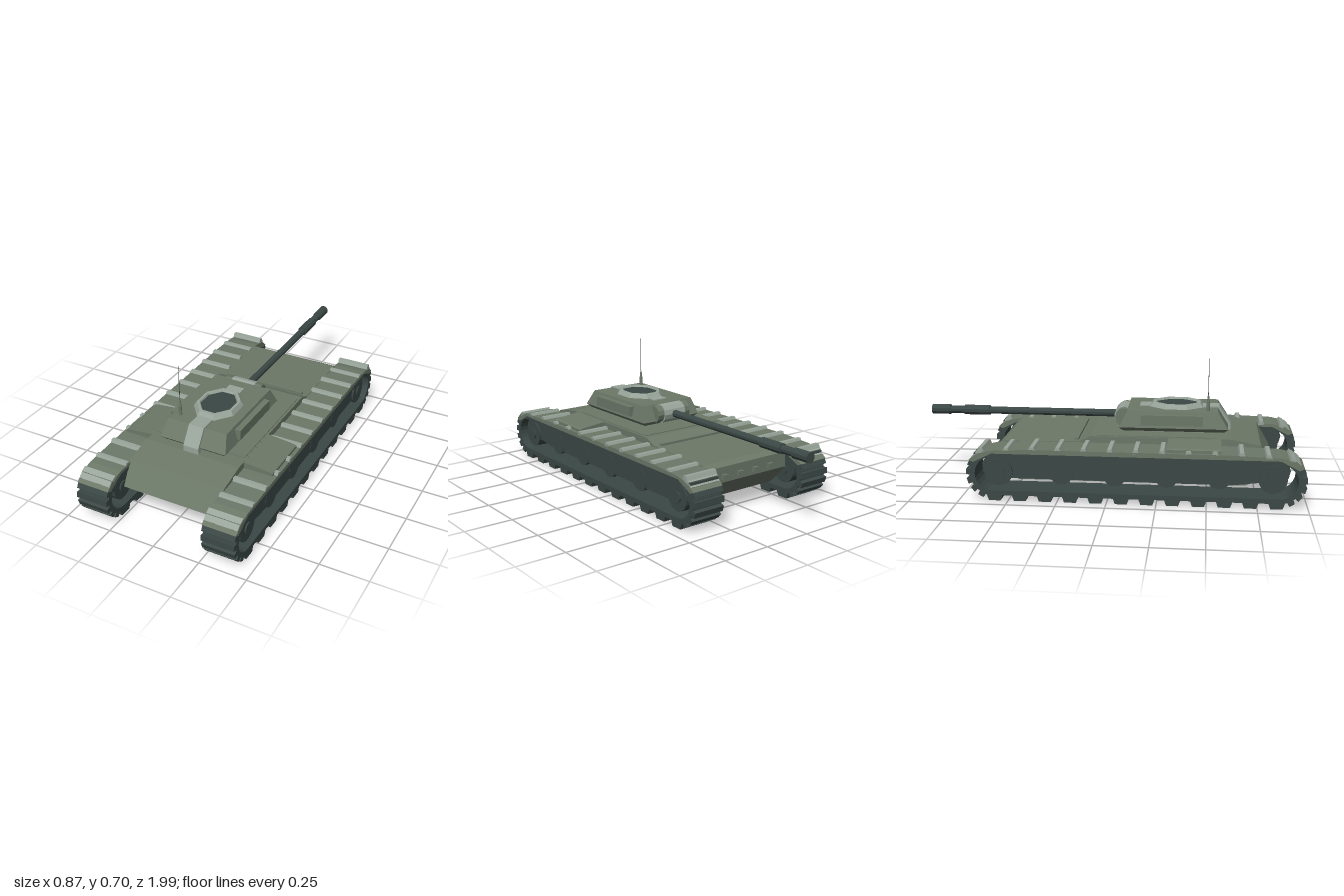
import * as THREE from 'three';

const mat = (name, color) => {
  const m = new THREE.MeshStandardMaterial({ color });
  m.name = name;
  m.flatShading = true;
  return m;
};

export function createModel() {
  const green = mat('armour green', 0x6c7868);
  const pale = mat('pale grey green', 0x98a49a);
  const dark = mat('track grey', 0x3b4845);
  const model = new THREE.Group();
  const CX = -0.005; // turret centre line

  const add = (parent, name, geo, material, x = 0, y = 0, z = 0) => {
    const m = new THREE.Mesh(geo, material);
    m.name = name;
    m.position.set(x, y, z);
    parent.add(m);
    return m;
  };
  const box = (w, h, d) => new THREE.BoxGeometry(w, h, d);

  // side profile of [z, y] points, extruded across x from x0 to x1
  const profile = (pts, x0, x1, hole) => {
    const toV = (p) => new THREE.Vector2(p[0], p[1]);
    const s = new THREE.Shape(pts.map(toV));
    if (hole) s.holes.push(new THREE.Path(hole.map(toV)));
    const g = new THREE.ExtrudeGeometry(s, { depth: x1 - x0, bevelEnabled: false });
    g.rotateY(-Math.PI / 2);
    g.translate(x1, 0, 0);
    return g;
  };

  // stack of rectangular rings [half width, z min, z max, y], bottom to top
  const loft = (rings) => {
    const c = rings.map(([w, a, b, y]) => [[-w, y, b], [w, y, b], [w, y, a], [-w, y, a]]);
    const p = [];
    const quad = (a, b, d, e) => p.push(...a, ...b, ...d, ...a, ...d, ...e);
    for (let r = 0; r + 1 < c.length; r++)
      for (let i = 0; i < 4; i++) {
        const j = (i + 1) % 4;
        quad(c[r][i], c[r][j], c[r + 1][j], c[r + 1][i]);
      }
    const t = c[c.length - 1];
    quad(t[0], t[1], t[2], t[3]);
    quad(c[0][3], c[0][2], c[0][1], c[0][0]);
    const g = new THREE.BufferGeometry();
    g.setAttribute('position', new THREE.Float32BufferAttribute(p, 3));
    g.computeVertexNormals();
    return g;
  };

  // hull
  add(model, 'hull', profile([[0.70, 0.063], [0.84, 0.155], [0.77, 0.275], [0.62, 0.304], [-0.10, 0.304],
    [-0.16, 0.275], [-0.55, 0.268], [-0.58, 0.25], [-0.58, 0.17], [-0.48, 0.063]], -0.262, 0.262), green);
  add(model, 'deckPlate', box(0.5, 0.006, 0.61), green, 0, 0.305, 0.235);
  add(model, 'engineDeckRidge', box(0.46, 0.012, 0.02), green, 0, 0.279, -0.175);
  for (const x of [-0.15, -0.05, 0.05, 0.15])
    add(model, 'rearBracket', box(0.03, 0.025, 0.02), green, x, 0.2, -0.585);

  // turret
  const turret = new THREE.Group();
  turret.name = 'turret';
  turret.position.x = CX;
  model.add(turret);
  add(turret, 'turretRing', loft([[0.155, 0.10, 0.54, 0.300], [0.145, 0.11, 0.53, 0.318]]), green);
  add(turret, 'turretBody', loft([[0.165, 0.06, 0.585, 0.316], [0.185, 0.04, 0.605, 0.336],
    [0.163, 0.08, 0.552, 0.42]]), green);
  for (const s of [-1, 1])
    add(turret, 'sideBin', box(0.035, 0.053, 0.32), green, s * 0.181, 0.379, 0.315);
  // pale strap running over the roof and down the front
  add(turret, 'frontStrap', profile([[0.44, 0.418], [0.44, 0.425], [0.56, 0.425], [0.62, 0.335],
    [0.62, 0.302], [0.595, 0.302], [0.595, 0.34], [0.55, 0.418]], -0.042, 0.042), pale);
  add(turret, 'roofStrap', box(0.085, 0.008, 0.10), pale, 0, 0.421, 0.19);

  // octagonal hatch
  const eighth = Math.PI / 8;
  const hatch = new THREE.Group();
  hatch.name = 'hatch';
  hatch.position.set(0, 0.42, 0.335);
  hatch.scale.set(0.122, 1, 0.152);
  turret.add(hatch);
  const rim = new THREE.LatheGeometry([[1.0, 0], [0.88, 0.023], [0.76, 0.023], [0.72, 0.012]]
    .map(([r, y]) => new THREE.Vector2(r, y)), 8, eighth);
  add(hatch, 'hatchRim', rim, pale);
  const lid = new THREE.CircleGeometry(0.76, 8, eighth);
  lid.rotateX(-Math.PI / 2);
  add(hatch, 'hatchLid', lid, dark, 0, 0.014, 0);

  // gun mantlet and barrel
  const across = (r, len, n) => new THREE.CylinderGeometry(r, r, len, n).rotateZ(Math.PI / 2);
  add(turret, 'mantletCore', across(0.047, 0.21, 12), green, 0, 0.371, 0.06);
  add(turret, 'mantletCover', across(0.052, 0.135, 12), pale, 0, 0.37, 0.057);
  for (const [name, r, z0, z1] of [['barrel', 0.02, 0.04, -0.68], ['barrelSleeve', 0.027, -0.68, -0.82],
    ['barrelNeck', 0.021, -0.82, -0.9], ['muzzle', 0.027, -0.9, -1.0]])
    add(turret, name, new THREE.CylinderGeometry(r, r, z0 - z1, 10).rotateX(Math.PI / 2), dark,
      0, 0.369, (z0 + z1) / 2);

  // antenna
  add(model, 'antennaBase', new THREE.CylinderGeometry(0.008, 0.009, 0.05, 8), green, -0.132, 0.442, 0.5);
  add(model, 'antennaTaper', new THREE.CylinderGeometry(0.003, 0.008, 0.04, 8), green, -0.132, 0.487, 0.5);
  add(model, 'antennaRod', new THREE.CylinderGeometry(0.001, 0.0018, 0.19, 6), dark, -0.132, 0.602, 0.5);

  // track loop: straight runs joined by half circles
  const ZF = 0.86, ZR = -0.58, YC = 0.14;
  const loop = (r) => {
    const pts = [];
    for (let i = 0; i <= 12; i++) {
      const a = -Math.PI / 2 + (Math.PI * i) / 12;
      pts.push([ZF + r * Math.cos(a), YC + r * Math.sin(a)]);
    }
    for (let i = 0; i <= 12; i++) {
      const a = Math.PI / 2 + (Math.PI * i) / 12;
      pts.push([ZR + r * Math.cos(a), YC + r * Math.sin(a)]);
    }
    return pts;
  };
  const fender = [[0.975, 0.212], [0.935, 0.246], [0.86, 0.262], [0.6, 0.27], [-0.4, 0.27], [-0.58, 0.261],
    [-0.655, 0.244], [-0.697, 0.21], [-0.675, 0.20], [-0.58, 0.246], [0.86, 0.246], [0.95, 0.20]];
  const skirt = [[0.90, 0.15], [0.91, 0.19], [0.88, 0.225], [0.82, 0.24], [-0.56, 0.24], [-0.61, 0.225],
    [-0.635, 0.19], [-0.63, 0.14], [-0.56, 0.112], [0.62, 0.108], [0.76, 0.125]];
  const X0 = 0.26, X1 = 0.434, XM = (X0 + X1) / 2;

  for (const side of [1, -1]) {
    const track = new THREE.Group();
    track.name = side > 0 ? 'leftTrack' : 'rightTrack';
    model.add(track);
    const sx = side * XM;
    const mirrored = (pts, x0, x1, hole) =>
      side > 0 ? profile(pts, x0, x1, hole) : profile(pts, -x1, -x0, hole);
    add(track, 'trackBelt', mirrored(loop(0.112), X0, X1, loop(0.088)), dark);
    add(track, 'fender', mirrored(fender, X0 - 0.002, X1 + 0.002), green);
    add(track, 'skirt', mirrored(skirt, 0.28, 0.405), dark);

    // road wheels and end wheels
    for (const z of [0.56, 0.30, 0.04, -0.23])
      add(track, 'roadWheel', across(0.06, 0.12, 16), dark, sx, 0.145, z);
    for (const z of [0.825, -0.55]) {
      add(track, 'endWheel', across(0.072, 0.135, 18), dark, sx, 0.145, z);
      add(track, 'wheelHub', across(0.03, 0.15, 10), dark, sx, 0.145, z);
    }

    // lower pads
    for (let i = 0; i < 12; i++)
      add(track, 'lowerPad', loft([[0.087, -0.03, 0.03, 0], [0.087, -0.042, 0.042, 0.034]]), dark,
        sx, 0, ZF - 0.015 - i * 0.1285);
    // pads around both ends
    for (const [zc, dir] of [[ZF, 1], [ZR, -1]])
      for (let i = 0; i < 6; i++) {
        const a = -1.1 + i * 0.39, r = 0.118;
        const pad = add(track, 'endPad', box(0.174, 0.03, 0.028), i > 4 ? pale : dark,
          sx, YC + r * Math.sin(a), zc + dir * r * Math.cos(a));
        pad.rotation.x = -dir * a;
      }
    // cross ribs on the fender, with dark pads showing underneath
    for (let i = 0; i < 12; i++) {
      const z = 0.80 - i * 0.1305;
      const y = z > 0.7 || z < -0.5 ? 0.262 : 0.269;
      add(track, 'fenderRib', loft([[0.089, -0.019, 0.019, -0.006], [0.089, -0.01, 0.01, 0.014]]), pale,
        sx, y, z);
      add(track, 'upperPad', box(0.168, 0.016, 0.07), dark, sx, 0.239, z);
    }
    add(track, 'frontRib', box(0.178, 0.018, 0.03), pale, sx, 0.25, 0.915).rotation.x = 0.5;
    add(track, 'rearRib', box(0.178, 0.018, 0.03), pale, sx, 0.25, -0.645).rotation.x = -0.5;

    // sloping stowage box over the fender
    const wedge = new THREE.Shape([[0.255, 0.262], [0.416, 0.262], [0.416, 0.284], [0.4, 0.289], [0.255, 0.304]]
      .map(([x, y]) => new THREE.Vector2(x, y)));
    const bin = new THREE.ExtrudeGeometry(wedge, { depth: 0.27, bevelEnabled: false });
    if (side < 0) bin.rotateY(Math.PI).translate(0, 0, 0.27);
    add(track, 'stowageBox', bin, green, 0, 0, 0.3);
  }
  return model;
}
